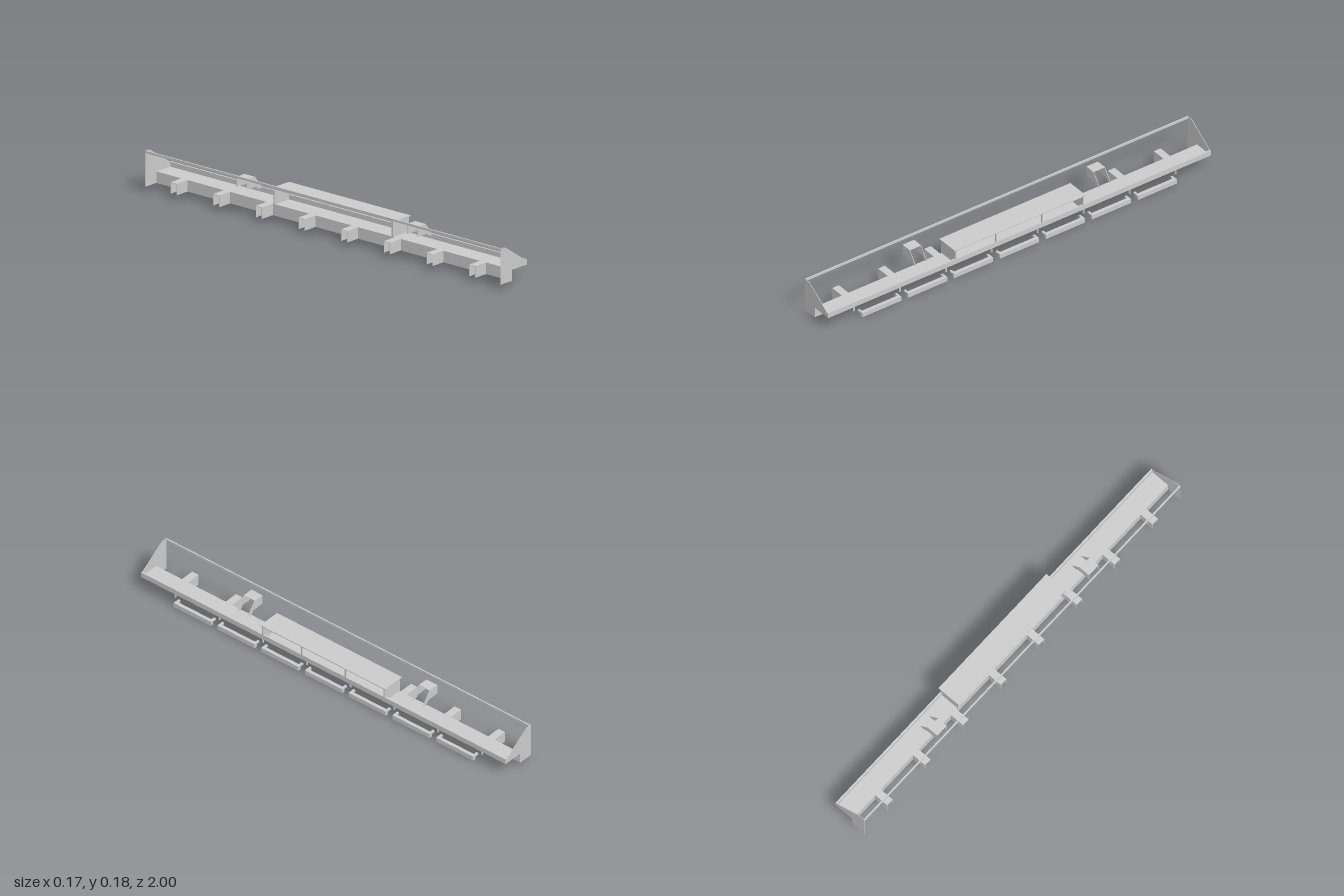
import * as THREE from 'three';

export function createModel() {
  const model = new THREE.Group();
  const mat = new THREE.MeshStandardMaterial({ color: 0xcccccc, flatShading: true, side: THREE.DoubleSide });

  const add = (name, geo, parent = model) => {
    const mesh = new THREE.Mesh(geo, mat);
    mesh.name = name;
    parent.add(mesh);
    return mesh;
  };
  // Box given by its limits on each axis
  const box = (name, x0, x1, y0, y1, z0, z1, parent) =>
    add(name, new THREE.BoxGeometry(x1 - x0, y1 - y0, z1 - z0)
      .translate((x0 + x1) / 2, (y0 + y1) / 2, (z0 + z1) / 2), parent);
  // Upright plate with an x-y outline, between z0 and z1
  const plate = (name, pts, z0, z1, parent) => {
    const shape = new THREE.Shape(pts.map(([x, y]) => new THREE.Vector2(x, y)));
    const geo = new THREE.ExtrudeGeometry(shape, { depth: z1 - z0, bevelEnabled: false });
    return add(name, geo.translate(0, 0, z0), parent);
  };

  const BACK = -0.086, WALL = -0.016, FRONT = 0.079, DECK = 0.072, LOW = 0.021;
  const T = 0.002, BAY = 0.24, HALF = 0.0175;

  // Long deck with a raised curb and a high rail along the back
  box('deck', WALL, FRONT, DECK - T, DECK, -1, 1);
  box('curb', 0.0705, FRONT, DECK, 0.094, -1, 1);
  box('topRail', BACK, BACK + 0.006, 0.17, 0.18, -1, 1);

  // Sloping end gables with a short wall below
  const gable = [[BACK, DECK], [0.0705, DECK], [0.0705, 0.094], [-0.059, 0.18], [BACK, 0.18]];
  for (const s of [-1, 1]) {
    const z = s > 0 ? 1 - T : -1;
    plate('gable', gable, z, z + T);
    box('endWall', BACK, WALL, LOW, DECK, z, z + T);
  }

  // Alcoves open to the back, and slim posts in line with them
  const gaps = [-3.5, -2.5, -1.5, -0.5, 0.5, 1.5, 2.5, 3.5].map(k => k * BAY);
  for (const z of gaps) {
    const alcove = new THREE.Group();
    alcove.name = 'alcove';
    alcove.position.z = z;
    model.add(alcove);
    box('alcoveRoof', BACK, WALL, DECK - T, DECK, -HALF, HALF, alcove);
    for (const s of [-1, 1]) {
      const c = s * (HALF - T / 2);
      box('alcoveSide', BACK, WALL, LOW, DECK, c - T / 2, c + T / 2, alcove);
    }
    box('post', 0.041, 0.047, LOW, DECK, z - 0.003, z + 0.003);
  }

  // Wall panels between the alcoves
  const edges = [-1 - HALF, ...gaps, 1 + HALF];
  for (let i = 0; i < edges.length - 1; i++) {
    box('wallPanel', WALL - T, WALL, LOW, DECK, edges[i] + HALF, edges[i + 1] - HALF);
  }

  // Low bumpers with arms turned back at both ends
  for (let k = -3; k <= 3; k++) {
    const bumper = new THREE.Group();
    bumper.name = 'bumper';
    bumper.position.z = k * BAY;
    model.add(bumper);
    box('bumperBar', 0.063, FRONT, 0, 0.021, -0.102, 0.102, bumper);
    for (const s of [-1, 1]) {
      box('bumperArm', 0.046, 0.063, 0.012, 0.021, s * 0.097 - 0.005, s * 0.097 + 0.005, bumper);
    }
  }

  // Central shelter with a flat canopy, end walls and front posts
  box('canopy', -0.026, 0.084, 0.14, 0.144, -0.342, 0.342);
  for (const s of [-1, 1]) {
    box('shelterEnd', -0.022, FRONT, DECK, 0.14, s * 0.333 - 0.003, s * 0.333 + 0.003);
    box('shelterPost', FRONT - 0.006, FRONT, 0.094, 0.14, s * 0.12 - 0.003, s * 0.12 + 0.003);
  }

  // Open hoods on either side of the shelter
  const cheek = [[-0.059, 0.12], [0.0, 0.12], [0.01, 0.107], [0.036, 0.107], [-0.009, 0.165], [-0.059, 0.165]];
  for (const s of [-1, 1]) {
    const hood = new THREE.Group();
    hood.name = 'hood';
    hood.position.z = s * 0.48;
    model.add(hood);
    box('hoodRoof', -0.059, -0.009, 0.165 - T, 0.165, -0.03, 0.03, hood);
    plate('hoodCheek', cheek, -0.03, -0.03 + T, hood);
    plate('hoodCheek', cheek, 0.03 - T, 0.03, hood);
  }

  return model;
}
